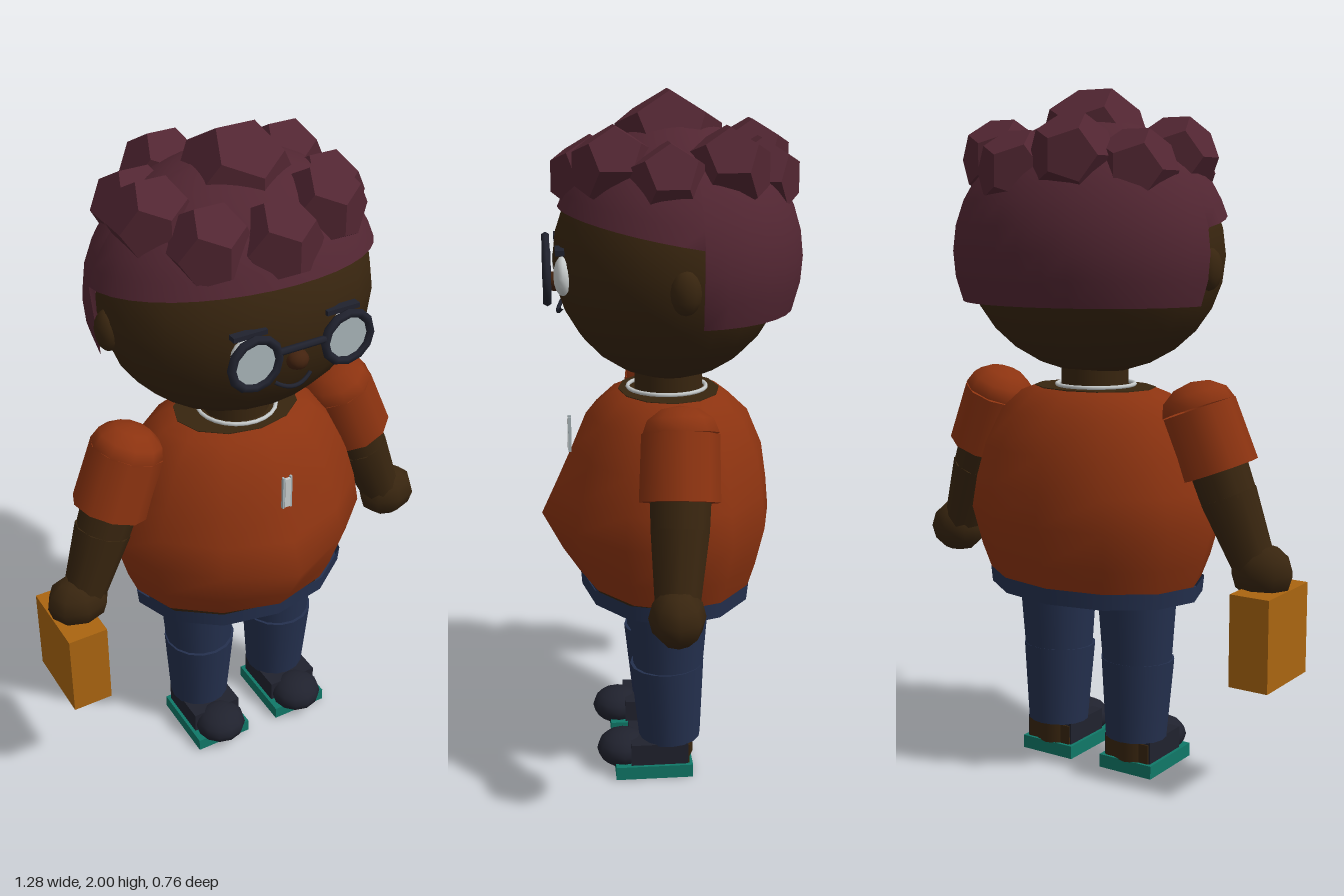
import * as THREE from 'three';

const mat = (name, color, side = THREE.FrontSide) => {
  const m = new THREE.MeshStandardMaterial({ color, side });
  m.name = name;
  return m;
};

export function createModel() {
  const root = new THREE.Group();
  root.name = 'character';
  const skin = mat('skin brown', 0x38250f);
  const shirt = mat('rust shirt', 0x8c3310, THREE.DoubleSide);
  const hair = mat('plum hair', 0x522632, THREE.DoubleSide);
  const denim = mat('navy denim', 0x24304e, THREE.DoubleSide);
  const dark = mat('charcoal', 0x20222e);
  const teal = mat('teal sole', 0x107868);
  const orange = mat('orange bag', 0xaa6510);
  const glass = mat('pale glass', 0xa8b4b8);
  const white = mat('off white', 0xc8cccc);
  const noseMat = mat('nose brown', 0x43230f);

  const add = (name, geo, material, x = 0, y = 0, z = 0) => {
    const m = new THREE.Mesh(geo, material);
    m.name = name;
    m.position.set(x, y, z);
    root.add(m);
    return m;
  };
  const box = (name, w, h, d, material, x, y, z) =>
    add(name, new THREE.BoxGeometry(w, h, d), material, x, y, z);
  const ball = (name, rx, ry, rz, material, x, y, z, n = 12, k = 8) =>
    add(name, new THREE.SphereGeometry(1, n, k).scale(rx, ry, rz), material, x, y, z);
  // Tapered cylinder from point a to point b
  const limb = (name, a, b, ra, rb, material, n = 12) => {
    const p = new THREE.Vector3(...a), q = new THREE.Vector3(...b);
    const d = q.clone().sub(p);
    const m = add(name, new THREE.CylinderGeometry(rb, ra, d.length(), n), material);
    m.position.copy(p).add(q).multiplyScalar(0.5);
    m.quaternion.setFromUnitVectors(new THREE.Vector3(0, 1, 0), d.normalize());
    return m;
  };
  // Closed skin through rings, counted from the bottom up
  const loft = (rows, cols, point) => {
    const pos = [], idx = [];
    for (let i = 0; i < rows; i++)
      for (let j = 0; j < cols; j++) {
        pos.push(...point(i, j));
        if (i === rows - 1) continue;
        const k = (j + 1) % cols, a = i * cols + j, b = i * cols + k;
        idx.push(a, b, b + cols, a, b + cols, a + cols);
      }
    const g = new THREE.BufferGeometry();
    g.setAttribute('position', new THREE.Float32BufferAttribute(pos, 3));
    g.setIndex(idx);
    g.computeVertexNormals();
    return g;
  };

  // Head
  ball('head', 0.395, 0.345, 0.33, skin, 0, 1.535, 0, 20, 14);
  ball('nose', 0.032, 0.028, 0.03, noseMat, 0, 1.47, 0.325);
  const smile = new THREE.QuadraticBezierCurve3(
    new THREE.Vector3(-0.055, 1.405, 0.305),
    new THREE.Vector3(0, 1.365, 0.33),
    new THREE.Vector3(0.055, 1.405, 0.305));
  add('mouth', new THREE.TubeGeometry(smile, 10, 0.006, 6), dark);

  // Hair cap: high over the brow, stepping down behind the ears
  const step = 1.68, angles = [];
  for (let j = 0; j <= 10; j++) angles.push(step * j / 10);
  for (let j = 0; j <= 16; j++) angles.push(step + 0.004 + (2 * Math.PI - 2 * step - 0.008) * j / 16);
  for (let j = 10; j > 0; j--) angles.push(2 * Math.PI - step * j / 10);
  const capRows = 11;
  add('hairCap', loft(capRows, angles.length, (i, j) => {
    const a = angles[j], c = Math.cos(a);
    const edge = c > Math.cos(step + 0.002) ? 1.62 + 0.062 * c : 1.4;
    const p = Math.acos((edge - 1.54) / 0.38) * (1 - i / (capRows - 1));
    return [0.42 * Math.sin(p) * Math.sin(a), 1.54 + 0.38 * Math.cos(p), -0.02 + 0.36 * Math.sin(p) * c];
  }), hair);

  // Curls: a crown and a ring of nine
  add('crownCurl', new THREE.DodecahedronGeometry(0.161), hair, 0, 1.85, 0);
  for (let i = 0; i < 9; i++) {
    const a = i * 2 * Math.PI / 9;
    add('curl', new THREE.DodecahedronGeometry(0.12), hair,
      0.262 * Math.sin(a), i % 2 ? 1.803 : 1.765, -0.02 + 0.238 * Math.cos(a));
  }

  // Neck, collar skin and necklace
  add('neck', new THREE.CylinderGeometry(0.098, 0.1, 0.14, 14), skin, 0, 1.16, 0);
  add('collarSkin', new THREE.CylinderGeometry(0.19, 0.19, 0.02, 12).scale(1, 1, 0.78), skin, 0, 1.142, 0);
  add('necklace', new THREE.TorusGeometry(0.115, 0.006, 6, 24).rotateX(Math.PI / 2), white, 0, 1.157, 0.005);

  // Shirt rings: height, half width, half depth, belly push
  const rings = [
    [0.59, 0.34, 0.25, 0.02], [0.66, 0.368, 0.272, 0.045], [0.775, 0.4, 0.3, 0.078],
    [0.87, 0.382, 0.292, 0.042], [0.975, 0.348, 0.277, 0.01], [1.08, 0.295, 0.233, 0.01],
    [1.135, 0.235, 0.175, 0.005], [1.152, 0.185, 0.143, 0],
  ];
  add('shirt', loft(rings.length, 12, (i, j) => {
    const [y, rx, rz, push] = rings[i], a = j * Math.PI / 6, c = Math.cos(a);
    return [rx * Math.sin(a), y, rz * c + (c > 0 ? push * c ** 8 : 0)];
  }), shirt);
  box('zipperTab', 0.018, 0.095, 0.009, white, 0, 1.018, 0.293);
  for (const s of [-1, 1]) box('zipperEdge', 0.006, 0.105, 0.009, glass, s * 0.012, 1.018, 0.291);

  // Waistband, open below, with the belly underside inside it
  add('waistband', new THREE.CylinderGeometry(0.345, 0.34, 0.047, 12, 1, true).scale(1, 1, 0.75), denim, 0, 0.568, 0.007);
  add('waistInner', new THREE.CylinderGeometry(0.31, 0.305, 0.047, 12, 1, true).scale(1, 1, 0.75), denim, 0, 0.568, 0.007);
  add('waistRim', new THREE.RingGeometry(0.305, 0.34, 12, 1, Math.PI / 2).rotateX(Math.PI / 2).scale(1, 1, 0.75), denim, 0, 0.545, 0.007);
  add('bellyUnderside', new THREE.CylinderGeometry(0.33, 0.32, 0.02, 12).scale(1, 1, 0.74), skin, 0, 0.58, 0.007);

  for (const s of [-1, 1]) {
    // Ear and glasses
    ball('ear', 0.035, 0.06, 0.043, skin, s * 0.385, 1.5, -0.01, 10, 8);
    add('glassesRim', new THREE.TorusGeometry(0.07, 0.013, 6, 12), dark, s * 0.14, 1.508, 0.348);
    add('lens', new THREE.CylinderGeometry(0.062, 0.062, 0.009, 12).rotateX(Math.PI / 2), glass, s * 0.14, 1.508, 0.345);
    ball('eye', 0.05, 0.055, 0.025, white, s * 0.14, 1.508, 0.305);
    box('eyebrow', 0.1, 0.014, 0.025, dark, s * 0.14, 1.578, 0.312);

    // Sleeve, arm and hand
    const shoulder = [s * 0.352, 1.11, 0], cuff = [s * 0.418, 0.938, 0.008];
    limb('sleeve', shoulder, cuff, 0.108, 0.112, shirt, 10);
    const dome = add('shoulder', new THREE.SphereGeometry(0.108, 10, 3, 0, 2 * Math.PI, 0, Math.PI / 2).scale(1, 0.72, 1), shirt, ...shoulder);
    dome.rotation.z = -s * -0.366;
    limb('upperArm', [s * 0.405, 0.97, 0.005], [s * 0.448, 0.86, 0.01], 0.085, 0.08, skin, 10);
    limb('forearm', [s * 0.445, 0.87, 0.01], [s * 0.525, 0.67, 0.025], 0.083, 0.062, skin, 10);
    ball('hand', 0.095, 0.082, 0.078, skin, s * 0.545, 0.66, 0.027, 8, 6);

    // Trouser leg
    const x = s * 0.142;
    limb('thigh', [x, 0.585, 0.012], [x, 0.335, 0.014], 0.122, 0.104, denim, 16);
    limb('shin', [x, 0.345, 0.018], [x, 0.105, 0.01], 0.11, 0.092, denim, 16);
    limb('ankle', [x, 0.13, 0.01], [x, 0.04, 0.01], 0.07, 0.07, skin, 10);

    // Shoe
    box('sole', 0.18, 0.04, 0.23, teal, x, 0.022, 0.062);
    box('heel', 0.15, 0.06, 0.06, skin, x, 0.07, -0.014);
    box('shoeUpper', 0.16, 0.067, 0.17, dark, x, 0.074, 0.046);
    ball('toe', 0.08, 0.055, 0.08, dark, x, 0.065, 0.15, 12, 8);
  }
  limb('glassesBridge', [-0.075, 1.524, 0.35], [0.075, 1.524, 0.35], 0.01, 0.01, dark, 6);

  // Bag held in the right hand
  box('bag', 0.12, 0.265, 0.24, orange, -0.57, 0.485, 0.025);
  return root;
}
